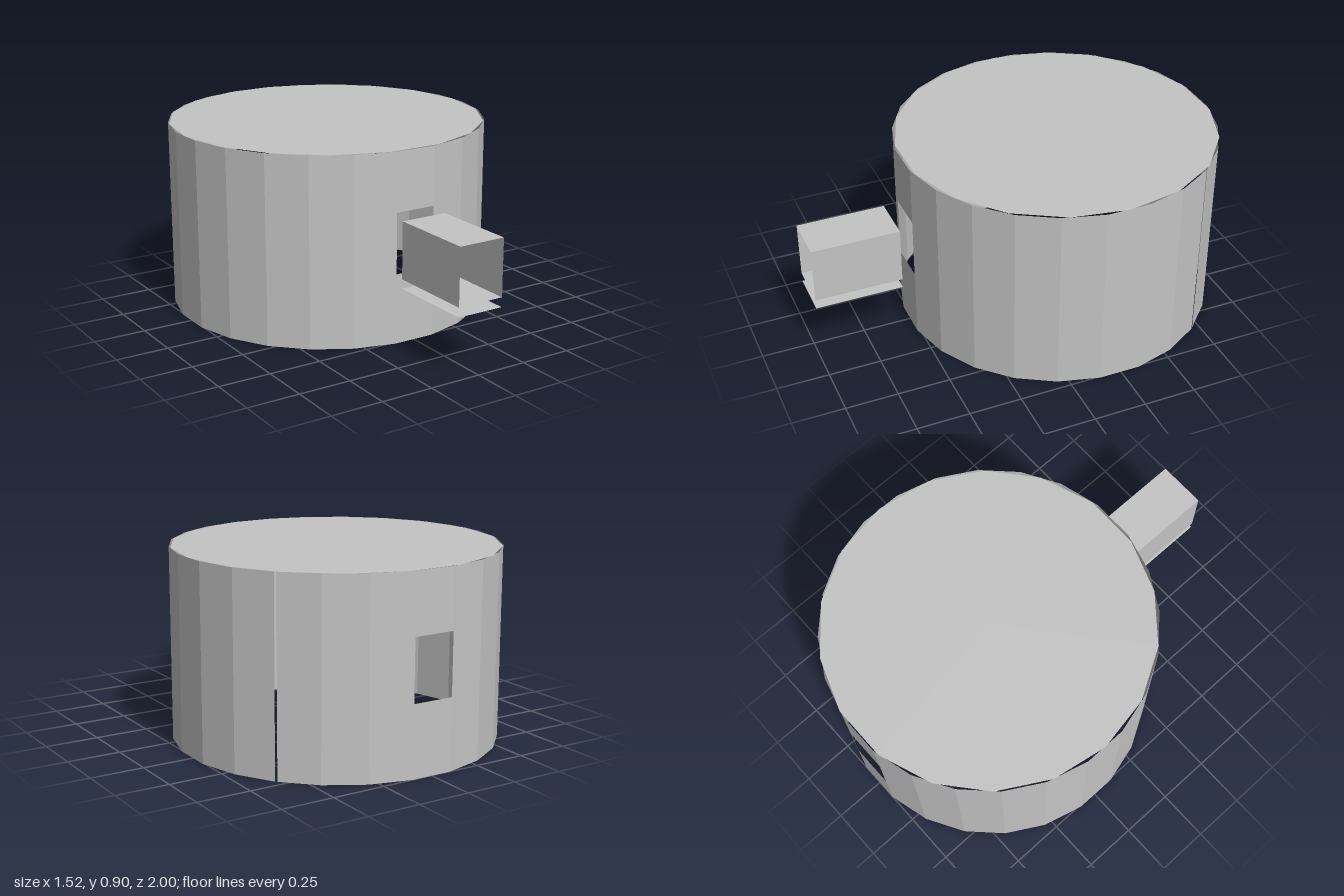
import * as THREE from 'three';

const R = 0.764, SIDES = 24, HEIGHT = 0.905, CENTRE_Z = -0.243;
const OPEN_LOW = 0.335, OPEN_HIGH = 0.625, SEAM = 0.01;

export function createModel() {
  const model = new THREE.Group();
  model.name = 'drumHouse';
  const grey = new THREE.MeshStandardMaterial({ color: 0xc4c4c4, side: THREE.DoubleSide, flatShading: true });
  grey.name = 'plain grey';

  const sheet = (name, w, h, parent) => {
    const mesh = new THREE.Mesh(new THREE.PlaneGeometry(w, h), grey);
    mesh.name = name;
    parent.add(mesh);
    return mesh;
  };

  // Wall of flat panels; the front and back panels have a full-width opening
  const wall = new THREE.Group();
  wall.name = 'wall';
  wall.position.z = CENTRE_Z;
  model.add(wall);
  const half = Math.PI / SIDES;
  const width = 2 * R * Math.sin(half), apothem = R * Math.cos(half);
  for (let i = 0; i < SIDES; i++) {
    const facet = new THREE.Group();
    facet.name = 'wallFacet';
    facet.rotation.y = i * 2 * half;
    wall.add(facet);
    const open = i % (SIDES / 2) === 0;
    const spans = open ? [[0, OPEN_LOW], [OPEN_HIGH, HEIGHT]] : [[0, HEIGHT]];
    const gap = i === 9 ? SEAM : 0; // narrow vertical seam
    for (const [low, high] of spans) {
      sheet('wallPanel', width - gap, high - low, facet).position.set(gap / 2, (low + high) / 2, apothem);
    }
  }

  // Flat roof with fewer sides than the wall
  const roof = new THREE.Mesh(new THREE.CircleGeometry(0.761, 18), grey);
  roof.name = 'roof';
  roof.rotation.x = -Math.PI / 2;
  roof.position.set(0, HEIGHT, -0.246);
  model.add(roof);

  // Square duct, open at both ends, standing clear of the front opening
  const duct = new THREE.Group();
  duct.name = 'duct';
  duct.position.z = 0.79;
  model.add(duct);
  const W = 0.23, L = 0.42, LOW = 0.335, HIGH = 0.605;
  for (const [name, y] of [['ductTop', HIGH], ['ductFloor', LOW], ['lowerPlate', 0.29]]) {
    const plate = sheet(name, W, L, duct);
    plate.rotation.x = -Math.PI / 2;
    plate.position.y = y;
  }
  for (const s of [-1, 1]) {
    const side = sheet(s > 0 ? 'ductLeftSide' : 'ductRightSide', L, HIGH - LOW, duct);
    side.rotation.y = s * Math.PI / 2;
    side.position.set(s * W / 2, (LOW + HIGH) / 2, 0);
  }
  return model;
}
